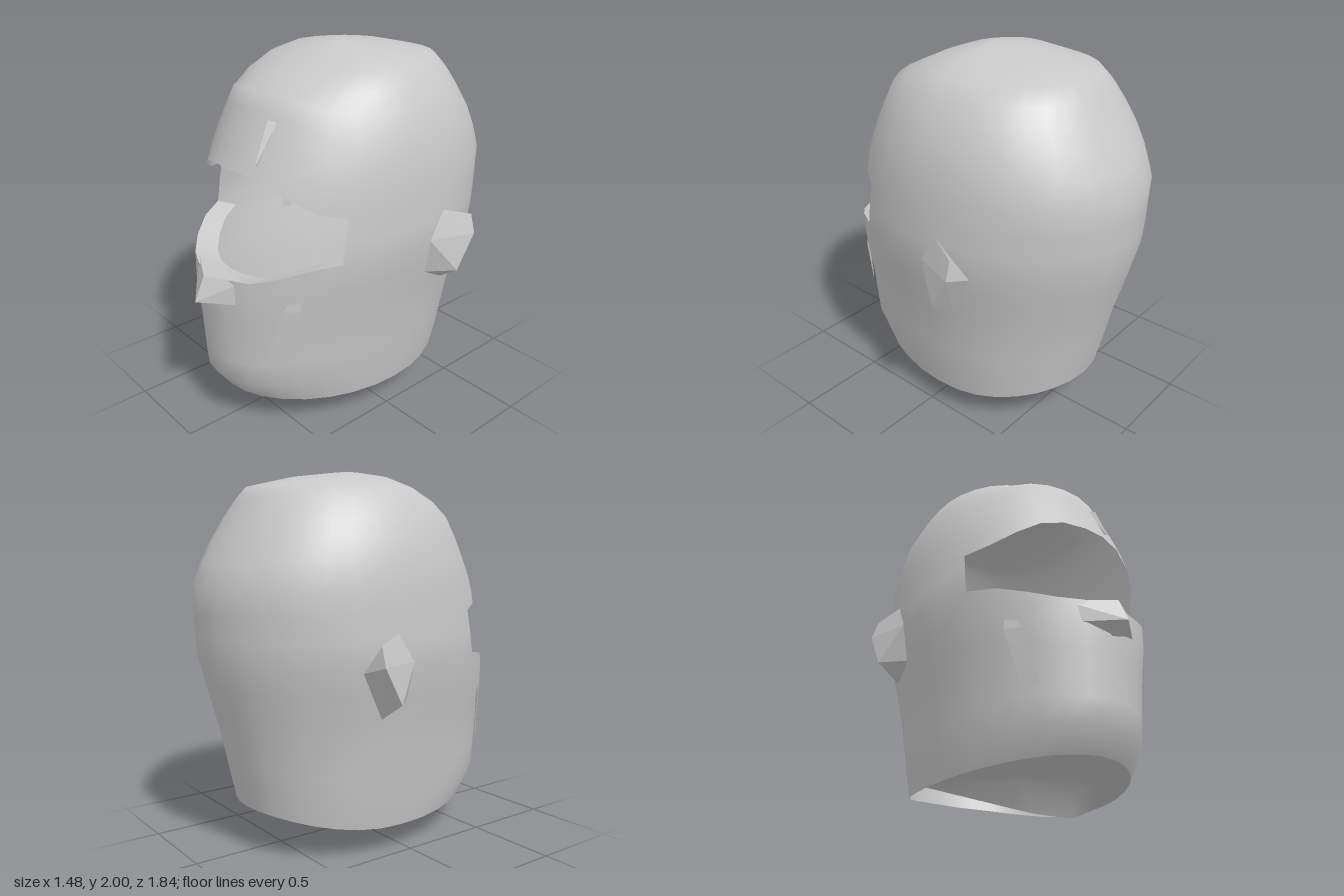
import * as THREE from 'three';
import { ConvexGeometry } from 'three/addons/geometries/ConvexGeometry.js';

const shellGrey = new THREE.MeshStandardMaterial({ color: 0xc8c8c8, side: THREE.DoubleSide });
shellGrey.name = 'shell grey';

// Shell sections: height, front z, back z, half width, centre z, squareness of the back (1 is round)
const SECTIONS = [
  [0.15, 0.68, -0.68, 0.50, -0.06, 0.92],
  [0.30, 0.80, -0.72, 0.53, -0.08, 0.96],
  [0.60, 0.81, -0.79, 0.57, -0.10, 1],
  [0.85, 0.82, -0.86, 0.62, -0.10, 1],
  [1.05, 0.79, -0.91, 0.66, -0.12, 1],
  [1.41, 0.68, -0.92, 0.645, -0.12, 0.95],
  [1.60, 0.59, -0.82, 0.61, -0.12, 0.92],
  [1.80, 0.49, -0.70, 0.52, -0.10, 0.92],
  [1.92, 0.23, -0.61, 0.41, -0.08, 0.95],
  [1.97, 0.09, -0.30, 0.24, -0.06, 1],
  [2.00, -0.05, -0.05, 0, -0.05, 1],
];
const STEP = Math.PI / 16;
const COLS = 32;
const EDGE = 5; // columns on each side of the front covered by the face opening
const { lerp, clamp, smoothstep } = THREE.MathUtils;
const power = (v, e) => Math.sign(v) * Math.abs(v) ** e;

// Point on the shell at angle t from the front and height y
function shellPoint(t, y, scale = 1) {
  let i = 0;
  while (i < SECTIONS.length - 2 && y > SECTIONS[i + 1][0]) i++;
  const a = SECTIONS[i], b = SECTIONS[i + 1];
  const f = clamp((y - a[0]) / (b[0] - a[0]), 0, 1);
  const [, zf, zb, w, zc, square] = a.map((v, k) => lerp(v, b[k], f));
  const front = Math.cos(t) > 0;
  const e = front ? 1 : square;
  const reach = front ? zf - zc : zc - zb;
  return new THREE.Vector3(w * power(Math.sin(t), e) * scale, y, zc + reach * power(Math.cos(t), e) * scale);
}

// Heights of the bottom rim, chin top and brow around the shell
const away = (t) => Math.abs(Math.atan2(Math.sin(t), Math.cos(t)));
const rimY = (t) => lerp(lerp(0.19, 0.15, smoothstep(away(t), 0, 1.5)), 0.24, smoothstep(away(t), 1.6, 3));
const lipY = (t) => lerp(0.92, 1.03, smoothstep(away(t), 0.3, EDGE * STEP));
const browY = (t) => lerp(1.44, 1.26, smoothstep(away(t), 0.2, EDGE * STEP));

// Surface through a grid of points, welded so that it shades smoothly
function sheet(patches) {
  const pos = [], index = [], seen = new Map();
  const id = (p) => {
    const key = p.toArray().map((v) => Math.round(v * 1e4)).join();
    if (!seen.has(key)) {
      seen.set(key, pos.length / 3);
      pos.push(p.x, p.y, p.z);
    }
    return seen.get(key);
  };
  for (const rows of patches) {
    const ids = rows.map((r) => r.map(id));
    for (let j = 0; j + 1 < ids.length; j++) {
      for (let i = 0; i + 1 < ids[j].length; i++) {
        const a = ids[j][i], b = ids[j][i + 1], c = ids[j + 1][i + 1], d = ids[j + 1][i];
        if (a !== b) index.push(a, b, c);
        if (c !== d) index.push(a, c, d);
      }
    }
  }
  const g = new THREE.BufferGeometry();
  g.setAttribute('position', new THREE.Float32BufferAttribute(pos, 3));
  g.setIndex(index);
  g.computeVertexNormals();
  return g;
}

// Grid of points for columns c0..c1 and n rows
function grid(c0, c1, n, fn) {
  return Array.from({ length: n + 1 }, (_, j) =>
    Array.from({ length: c1 - c0 + 1 }, (_, i) => fn((c0 + i) * STEP, j / n)));
}

function createModel() {
  const model = new THREE.Group();
  model.name = 'helmet';
  const add = (name, geometry) => {
    const mesh = new THREE.Mesh(geometry, shellGrey);
    mesh.name = name;
    model.add(mesh);
  };
  const wedge = (name, points) => {
    add(name, new ConvexGeometry(points.map((p) => new THREE.Vector3(...p))));
  };

  // Shell: jaw, sides behind the face opening, and crown
  add('shell', sheet([
    grid(0, COLS, 6, (t, f) => shellPoint(t, lerp(rimY(t), lipY(t), f))),
    grid(EDGE, COLS - EDGE, 2, (t, f) => shellPoint(t, lerp(lipY(t), browY(t), f))),
    grid(0, COLS, 9, (t, f) => shellPoint(t, lerp(browY(t), 2, Math.sin(f * Math.PI / 2)))),
  ]));

  // Ledge along the top of the chin bar
  add('chinLedge', sheet([
    grid(-EDGE, EDGE, 1, (t, f) => {
      const p = shellPoint(t, lipY(t), 1 - 0.14 * f);
      p.y -= 0.02 * f;
      return p;
    }),
  ]));

  // Flap under the chin, dropping to its lowest edge in the middle
  add('chinFlap', sheet([
    grid(-8, 8, 5, (t, f) => {
      const outer = shellPoint(t, rimY(t));
      const x = 0.5 * Math.sin(t);
      const k = clamp((Math.abs(x) - 0.12) / 0.38, 0, 1);
      const inner = new THREE.Vector3(x, 0.15 * k, lerp(0.3, -0.06, k));
      const p = outer.clone().lerp(inner, f);
      p.y = lerp(outer.y, inner.y, f < 0.9 ? f * 0.4 : 1);
      return p;
    }),
  ]));

  // Pointed nose on the chin bar
  wedge('chinBeak', [
    [-0.22, 0.92, 0.73], [0.2, 0.92, 0.74], [0.03, 0.93, 0.86], [0.03, 0.8, 0.92],
    [-0.22, 0.8, 0.73], [0.2, 0.79, 0.75], [0.02, 0.75, 0.8],
  ]);

  for (const s of [-1, 1]) {
    // Hinge bump on each side
    wedge(s > 0 ? 'leftHinge' : 'rightHinge', [
      [s * 0.64, 1.19, -0.2], [s * 0.71, 1.14, -0.37], [s * 0.74, 1.04, -0.37],
      [s * 0.73, 0.85, -0.26], [s * 0.6, 0.76, -0.28], [s * 0.61, 0.84, -0.13],
      [s * 0.61, 1.0, -0.4], [s * 0.655, 1.04, -0.12],
    ]);
    // Upright vent blade beside the chin
    wedge(s > 0 ? 'leftVent' : 'rightVent', [
      [s * 0.42, 0.92, 0.56], [s * 0.43, 0.78, 0.56], [s * 0.37, 0.78, 0.63],
      [s * 0.3, 0.49, 0.68], [s * 0.36, 0.5, 0.61],
    ]);
  }

  // Small fin on the forehead
  wedge('foreheadFin', [
    [0.14, 1.7, 0.5], [0.2, 1.69, 0.5], [0.17, 1.68, 0.545], [0.18, 1.48, 0.63], [0.17, 1.5, 0.6],
  ]);

  return model;
}

export { createModel };
